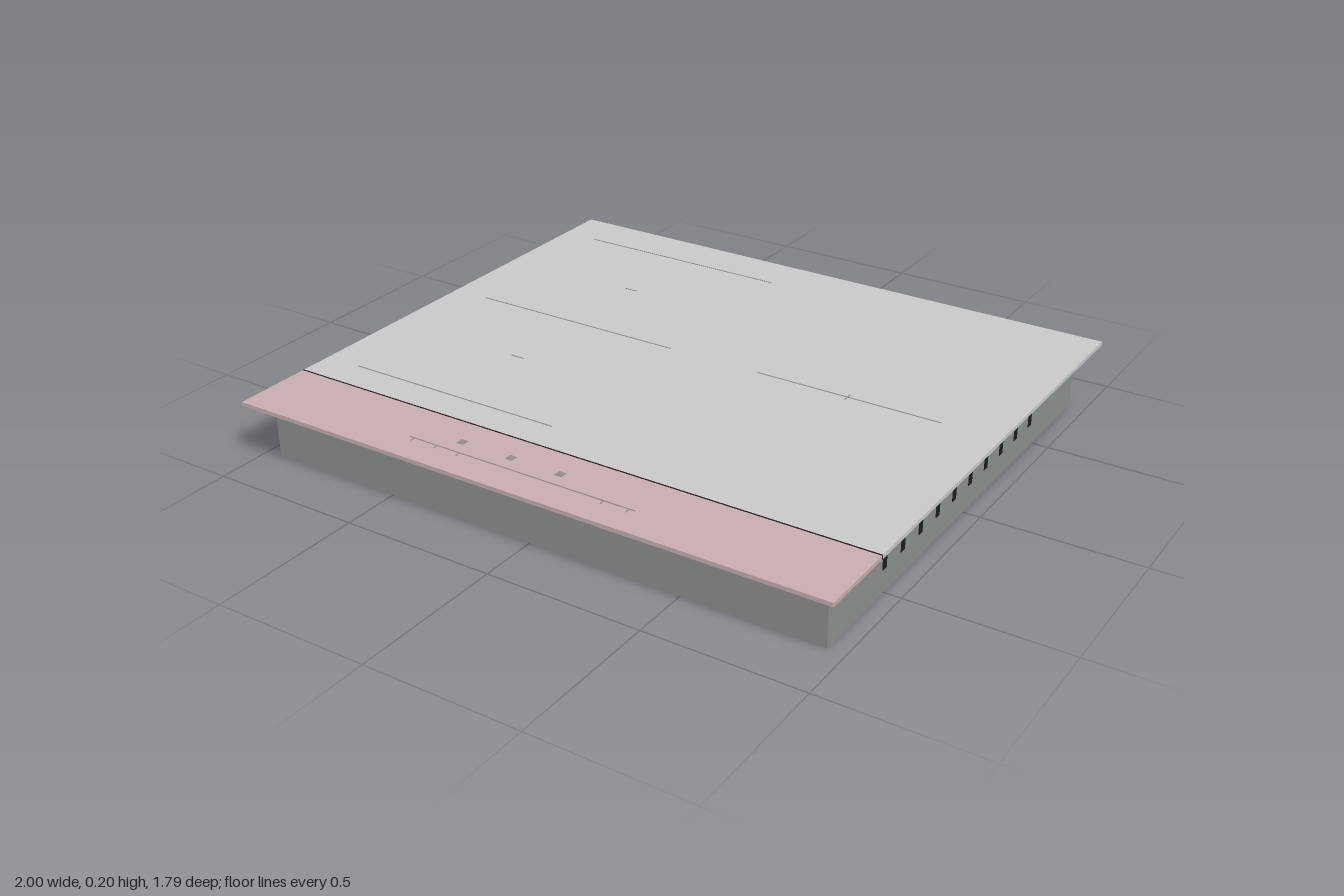
import * as THREE from 'three';

export function createModel() {
  const root = new THREE.Group();
  root.name = 'cooktop';

  const mat = (name, color) => {
    const m = new THREE.MeshStandardMaterial({ color });
    m.name = name;
    return m;
  };
  const glass = mat('grey glass', 0xc8c8c8);
  const pink = mat('pink glass', 0xc8adaf);
  const metal = mat('grey metal', 0x8b908e);
  const black = mat('black', 0x1c1f1e);
  const print = mat('printed grey', 0x8e8e8e);

  // Box given by its limits on each axis
  const box = (name, material, [x0, x1], [y0, y1], [z0, z1], parent = root) => {
    const mesh = new THREE.Mesh(new THREE.BoxGeometry(x1 - x0, y1 - y0, z1 - z0), material);
    mesh.position.set((x0 + x1) / 2, (y0 + y1) / 2, (z0 + z1) / 2);
    mesh.name = name;
    parent.add(mesh);
    return mesh;
  };

  // Housing under the glass
  box('housing', metal, [-0.95, 0.945], [0, 0.19], [-0.81, 0.81]);

  // Glass top: cooking surface, dark joint, control panel
  const top = 0.203;
  box('cookingSurface', glass, [-1, 1], [0.19, top], [-0.897, 0.629]);
  box('joint', black, [-1, 1], [0.19, top], [0.629, 0.635]);
  box('controlPanel', pink, [-1, 1], [0.19, top], [0.635, 0.893]);

  // Ventilation slots on both sides
  const vents = new THREE.Group();
  vents.name = 'sideVents';
  root.add(vents);
  for (const x of [-0.95, 0.945]) {
    for (let i = 0; i < 10; i++) {
      const z = 0.502 - i * 0.1075;
      box('ventSlot', black, [x - 0.002, x + 0.002], [0.075, 0.15], [z - 0.011, z + 0.011], vents);
    }
  }

  // Small slots in the front
  for (const x of [-0.69, 0.685]) {
    box('frontSlot', black, [x - 0.016, x + 0.016], [0.142, 0.152], [0.808, 0.812]);
  }

  // Printed marks on the glass
  const marks = new THREE.Group();
  marks.name = 'printedMarks';
  root.add(marks);
  const mark = (name, x0, x1, z0, z1) =>
    box(name, print, [x0, x1], [top - 0.001, top + 0.001], [z0, z1], marks);

  // Left pair of cooking zones: edge lines and centre dashes
  for (const z of [-0.74, -0.11, 0.52]) mark('zoneLine', -0.875, -0.13, z - 0.002, z + 0.002);
  for (const z of [-0.43, 0.2]) mark('zoneCentre', -0.525, -0.478, z - 0.002, z + 0.002);

  // Right cooking zone: line with a centre tick
  mark('zoneLine', 0.19, 0.81, -0.112, -0.108);
  mark('zoneCentre', 0.5, 0.504, -0.128, -0.092);

  // Controls: three keys and a slider scale
  for (const x of [-0.287, -0.113, 0.059]) mark('key', x - 0.012, x + 0.012, 0.723, 0.747);
  mark('sliderLine', -0.435, 0.345, 0.788, 0.792);
  for (const x of [-0.418, -0.333, -0.252, 0.245, 0.327]) {
    mark('sliderTick', x - 0.002, x + 0.002, 0.792, 0.808);
  }

  return root;
}
